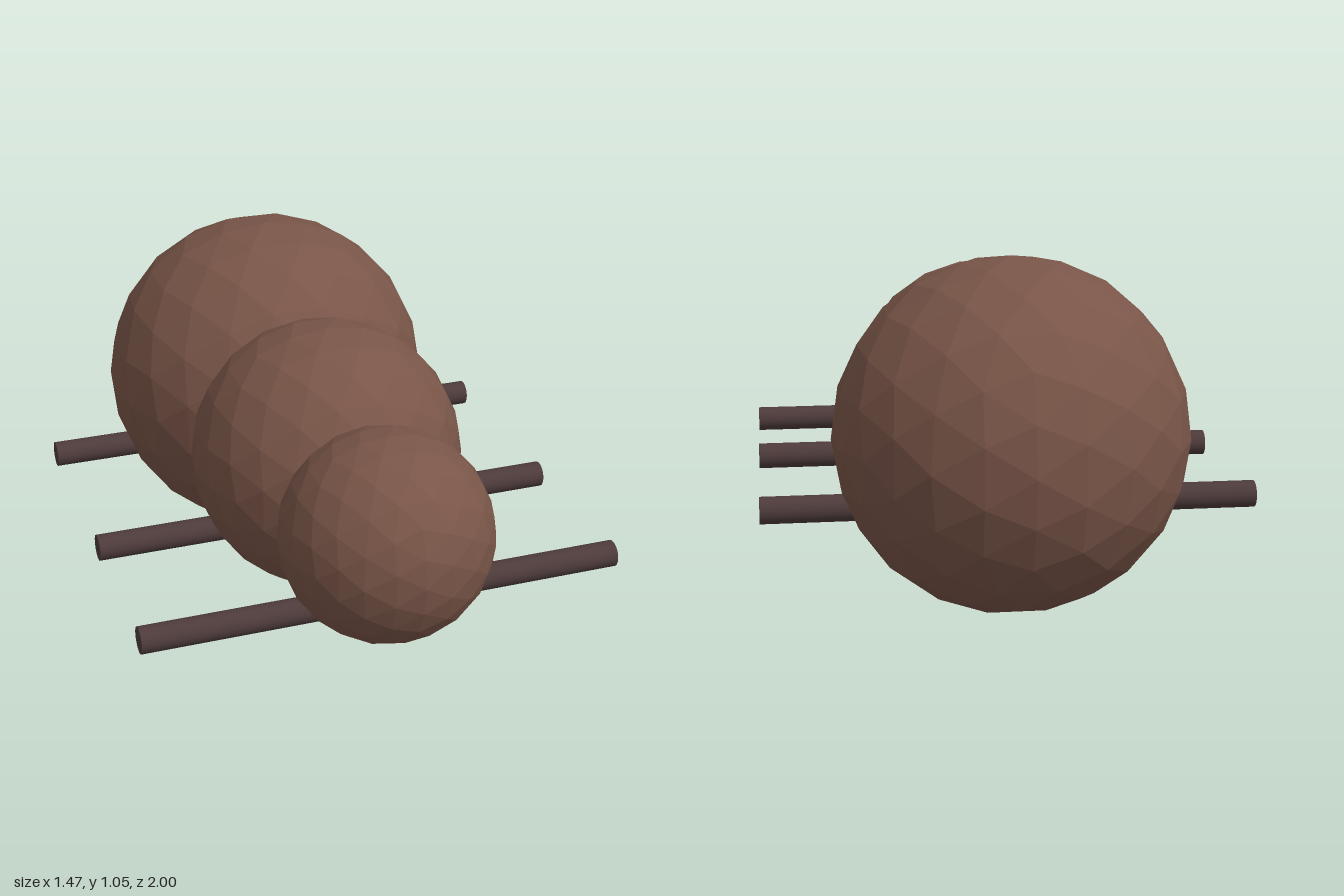
import * as THREE from 'three';

// Faceted sphere: an icosahedron halved twice, projected to the sphere each time
function facetedSphere(radius) {
  const base = new THREE.IcosahedronGeometry(1, 1);
  const points = Array.from(base.attributes.position.array);
  const order = Array.from({ length: points.length / 3 }, (_, i) => i);
  return new THREE.PolyhedronGeometry(points, order, radius, 1);
}

export function createModel() {
  const group = new THREE.Group();
  const bodyMaterial = new THREE.MeshStandardMaterial({ color: 0x795548, flatShading: true });
  const legMaterial = new THREE.MeshStandardMaterial({ color: 0x4e3b3b });

  const segments = [
    { name: 'head', radius: 0.315, z: 0.685 },
    { name: 'thorax', radius: 0.42, z: 0.16 },
    { name: 'abdomen', radius: 0.525, z: -0.475 },
  ];

  // One straight bar through each segment forms a pair of legs
  const legGeometry = new THREE.CylinderGeometry(0.04, 0.04, 1.47, 24).rotateZ(Math.PI / 2);

  for (const { name, radius, z } of segments) {
    const body = new THREE.Mesh(facetedSphere(radius), bodyMaterial);
    body.name = name;
    body.position.set(0, 0.525, z);

    const legs = new THREE.Mesh(legGeometry, legMaterial);
    legs.name = name + 'LegPair';
    legs.position.set(0, 0.318, z);

    group.add(body, legs);
  }
  return group;
}
